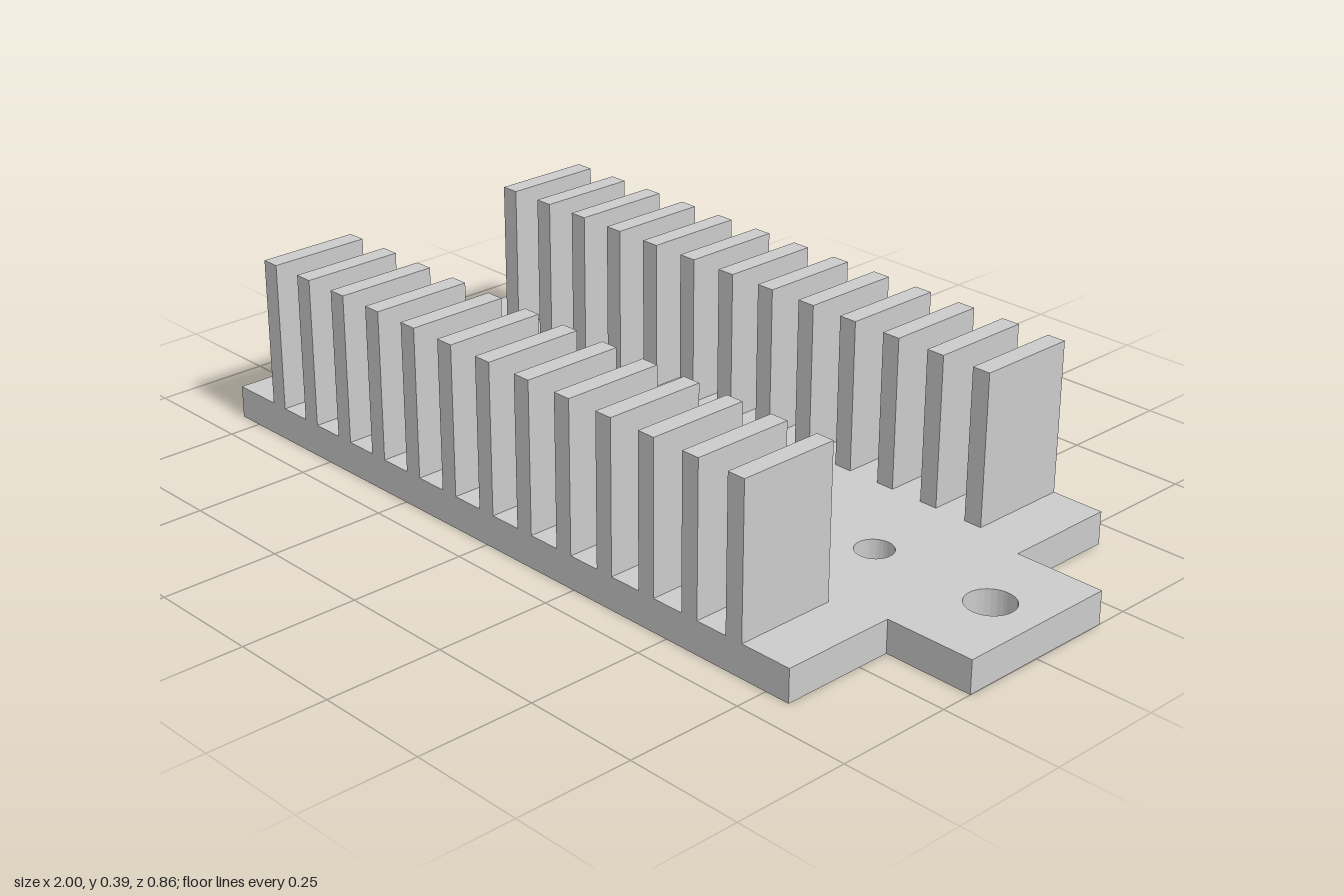
import * as THREE from 'three';
import { toCreasedNormals } from 'three/addons/utils/BufferGeometryUtils.js';

const BASE_H = 0.07, FIN_TOP = 0.39;
const BODY_X = 0.805, BODY_Z = 0.43, TAB_X = 1, TAB_Z = 0.18;
const FIN_COUNT = 13, FIN_W = 0.04, FIN_INNER_Z = 0.21, FIN_END_X = 0.67;

export function createModel() {
  const model = new THREE.Group();
  model.name = 'heatSink';
  const material = new THREE.MeshStandardMaterial({ color: 0xcccccc });

  // Base plate with a mounting tab at each end
  const outline = new THREE.Shape([
    [-BODY_X, -BODY_Z], [BODY_X, -BODY_Z], [BODY_X, -TAB_Z], [TAB_X, -TAB_Z],
    [TAB_X, TAB_Z], [BODY_X, TAB_Z], [BODY_X, BODY_Z], [-BODY_X, BODY_Z],
    [-BODY_X, TAB_Z], [-TAB_X, TAB_Z], [-TAB_X, -TAB_Z], [-BODY_X, -TAB_Z],
  ].map(([x, y]) => new THREE.Vector2(x, y)));

  // Large holes in the tabs, smaller ones in the body
  for (const [x, radius] of [[0.89, 0.05], [0.61, 0.039]]) {
    for (const side of [-1, 1]) {
      outline.holes.push(new THREE.Path().absarc(side * x, 0, radius, 0, Math.PI * 2, true));
    }
  }
  const plate = new THREE.ExtrudeGeometry(outline, {
    depth: BASE_H, bevelEnabled: false, curveSegments: 40,
  });
  plate.rotateX(-Math.PI / 2);
  const base = new THREE.Mesh(toCreasedNormals(plate, 0.5), material);
  base.name = 'basePlate';
  model.add(base);

  // Two rows of upright fins along the long edges
  const depth = BODY_Z - FIN_INNER_Z;
  const finGeometry = new THREE.BoxGeometry(FIN_W, FIN_TOP - BASE_H, depth);
  for (const side of [1, -1]) {
    const row = new THREE.Group();
    row.name = side > 0 ? 'frontFins' : 'backFins';
    for (let i = 0; i < FIN_COUNT; i++) {
      const fin = new THREE.Mesh(finGeometry, material);
      fin.name = 'fin';
      fin.position.set(
        FIN_END_X * (2 * i / (FIN_COUNT - 1) - 1),
        (FIN_TOP + BASE_H) / 2,
        side * (FIN_INNER_Z + depth / 2),
      );
      row.add(fin);
    }
    model.add(row);
  }
  return model;
}
